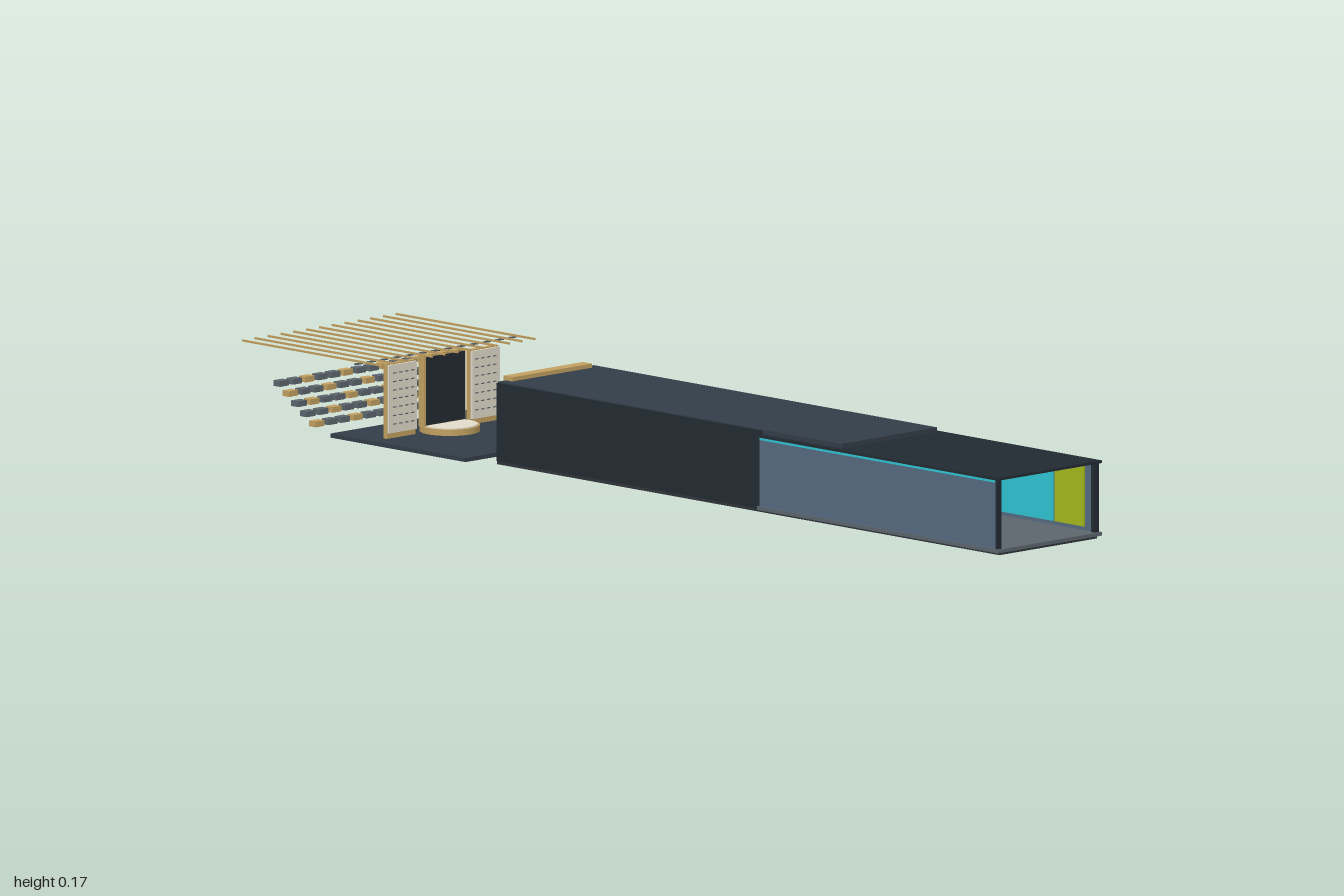
import * as THREE from 'three';

const mats = {};
const mat = (c) => (mats[c] ??= new THREE.MeshStandardMaterial({ color: c }));
const SLATE = 0x333d48, DARK = 0x222a32, BLUE = 0x566a80, GOLD = 0xc2a060,
  CREAM = 0xe2dccb, TEAL = 0x2ec4d2, GREY = 0x5c656d, OLIVE = 0xa2b81c, CHARCOAL = 0x30343a;

// Box given by its extents on each axis
function box(parent, name, color, [x0, x1], [y0, y1], [z0, z1]) {
  const m = new THREE.Mesh(new THREE.BoxGeometry(x1 - x0, y1 - y0, z1 - z0), mat(color));
  m.position.set((x0 + x1) / 2, (y0 + y1) / 2, (z0 + z1) / 2);
  m.name = name;
  parent.add(m);
  return m;
}

// The same box on both sides of x = 0
function pair(parent, name, color, [x0, x1], y, z) {
  box(parent, name + 'Left', color, [x0, x1], y, z);
  box(parent, name + 'Right', color, [-x1, -x0], y, z);
}

function group(parent, name) {
  const g = new THREE.Group();
  g.name = name;
  parent.add(g);
  return g;
}

function buildTunnel(root) {
  // Long rear section
  const rear = group(root, 'rearTunnel');
  box(rear, 'rearFloor', CHARCOAL, [-0.13, 0.13], [0, 0.009], [-0.38, 0.56]);
  box(rear, 'rearRoof', SLATE, [-0.128, 0.128], [0.151, 0.16], [-0.38, 0.56]);
  pair(rear, 'rearWall', DARK, [0.12, 0.131], [0.006, 0.158], [-0.38, 0.345]);

  // Wider entrance section
  const front = group(root, 'entranceTunnel');
  box(front, 'entranceBase', CHARCOAL, [-0.13, 0.13], [0, 0.006], [0.56, 0.995]);
  box(front, 'entranceFloor', GREY, [-0.139, 0.139], [0.005, 0.012], [0.34, 1]);
  box(front, 'entranceRoof', DARK, [-0.139, 0.139], [0.146, 0.151], [0.34, 1]);
  pair(front, 'entranceWall', BLUE, [0.128, 0.136], [0.012, 0.141], [0.345, 0.99]);
  pair(front, 'lightStrip', TEAL, [0.129, 0.137], [0.141, 0.146], [0.345, 0.99]);
  pair(front, 'entranceTrim', DARK, [0.124, 0.136], [0.012, 0.146], [0.985, 0.995]);

  // Coloured screens along the inner walls
  [[OLIVE, 0.885, 0.965], [TEAL, 0.7, 0.88], [OLIVE, 0.53, 0.69], [TEAL, 0.36, 0.52]]
    .forEach(([c, z0, z1]) => pair(front, 'wallScreen', c, [0.124, 0.128], [0.02, 0.138], [z0, z1]));
}

function buildPortal(root) {
  const portal = group(root, 'portal');
  box(portal, 'portalBeam', GOLD, [-0.106, 0.106], [0.143, 0.168], [-0.387, -0.362]);
  pair(portal, 'portalPost', GOLD, [0.086, 0.107], [0.009, 0.16], [-0.387, -0.362]);
  box(portal, 'portalScreen', TEAL, [-0.087, 0.087], [0.016, 0.143], [-0.382, -0.374]);
  box(portal, 'portalBackPanel', CREAM, [-0.082, 0.082], [0.016, 0.158], [-0.4, -0.396]);
  pair(portal, 'speaker', DARK, [0.105, 0.117], [0.019, 0.037], [-0.35, -0.33]);
  pair(portal, 'speakerKnob', GOLD, [0.1, 0.105], [0.028, 0.034], [-0.343, -0.337]);
}

function buildStage(root) {
  const stage = group(root, 'stage');
  box(stage, 'stageFloor', SLATE, [-0.185, 0.185], [0.007, 0.015], [-0.78, -0.41]);

  // Round podium with a light top
  const podium = new THREE.Mesh(new THREE.CylinderGeometry(0.058, 0.058, 0.012, 48), mat(GOLD));
  podium.position.set(0, 0.021, -0.643);
  podium.name = 'podium';
  const top = new THREE.Mesh(new THREE.CylinderGeometry(0.054, 0.054, 0.003, 48), mat(CREAM));
  top.position.set(0, 0.0275, -0.643);
  top.name = 'podiumTop';
  stage.add(podium, top);

  // Central screen and side boards with gold backs
  box(stage, 'centreFrame', GOLD, [-0.055, 0.055], [0.026, 0.166], [-0.672, -0.656]);
  box(stage, 'centreScreen', DARK, [-0.051, 0.051], [0.03, 0.162], [-0.656, -0.654]);
  pair(stage, 'boardBack', GOLD, [0.073, 0.149], [0.015, 0.16], [-0.672, -0.662]);
  pair(stage, 'boardFace', CREAM, [0.074, 0.148], [0.026, 0.158], [-0.662, -0.657]);
  for (let r = 0; r < 7; r++)
    for (let c = 0; c < 4; c++) {
      const x = 0.081 + c * 0.016, y = 0.042 + r * 0.0165;
      pair(stage, 'boardMark', GREY, [x, x + 0.009], [y, y + 0.002], [-0.657, -0.656]);
    }
}

function buildSeats(root) {
  // Five rising rows of twelve seats
  const seats = group(root, 'seats');
  for (let r = 0; r < 5; r++)
    for (let c = 0; c < 12; c++) {
      const x = -0.188 + c * 0.0342, y = 0.031 + r * 0.0165, z = -0.814 - r * 0.0243;
      box(seats, 'seat', (r + c) % 3 ? GREY : GOLD,
        [x - 0.012, x + 0.012], [y - 0.0055, y + 0.0055], [z - 0.009, z + 0.009]);
    }
}

function buildCeiling(root) {
  // Thin rods over the stage and seats, with a lamp bar under each
  const ceiling = group(root, 'ceilingRods');
  for (let i = -6; i <= 6; i++) {
    const x = i * 0.0342;
    box(ceiling, 'rod', GOLD, [x - 0.0012, x + 0.0012], [0.168, 0.172], [-1, -0.62]);
    box(ceiling, 'lampBar', GREY, [x - 0.01, x + 0.01], [0.164, 0.167], [-0.684, -0.68]);
  }
}

export function createModel() {
  const root = new THREE.Group();
  root.name = 'exhibitionTunnel';
  buildTunnel(root);
  buildPortal(root);
  buildStage(root);
  buildSeats(root);
  buildCeiling(root);
  return root;
}
